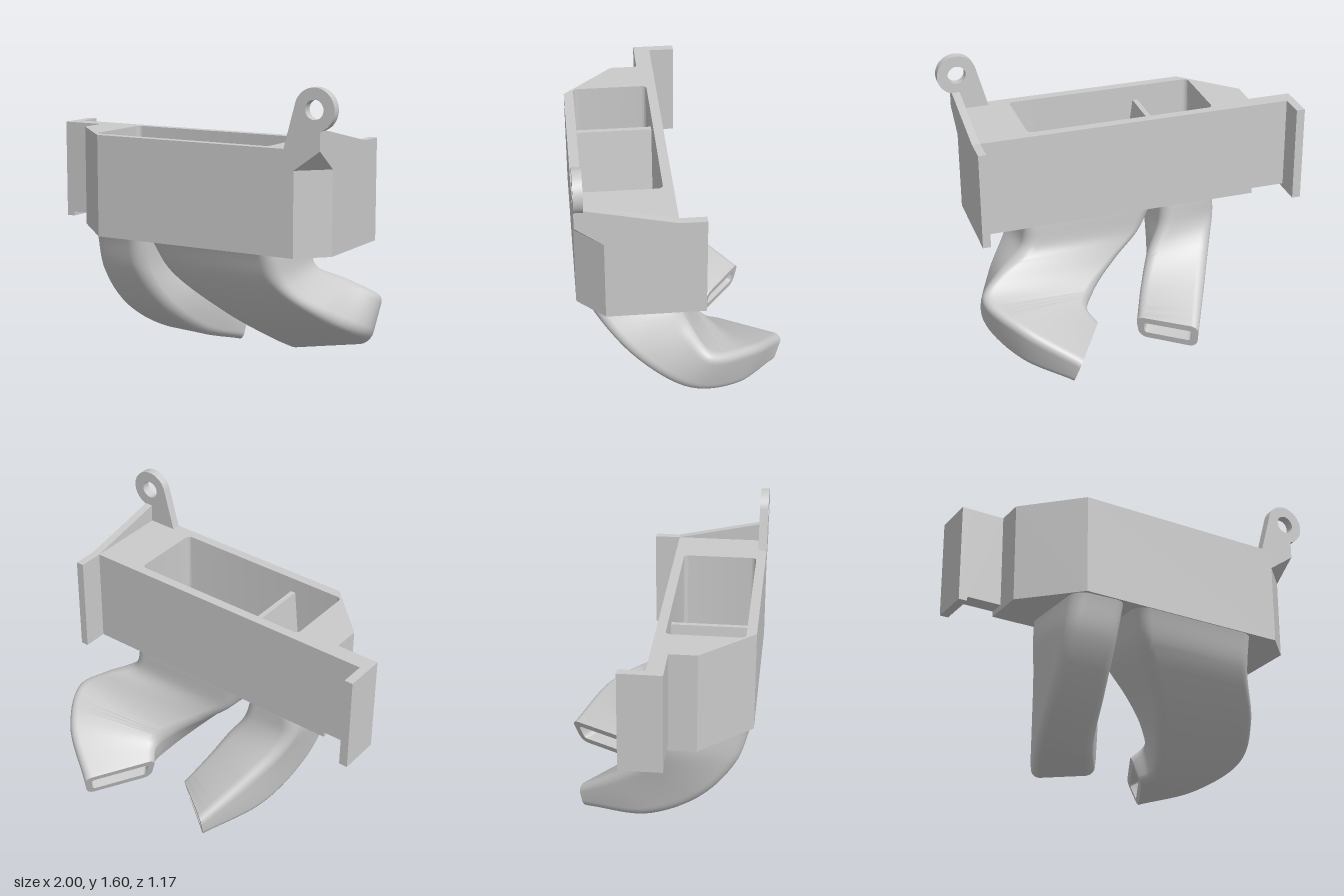
import * as THREE from 'three';
import { toCreasedNormals } from 'three/addons/utils/BufferGeometryUtils.js';
import { ConvexGeometry } from 'three/addons/geometries/ConvexGeometry.js';

const V = (x, y, z) => new THREE.Vector3(x, y, z);
const BOTTOM = 0.708, TOP = 1.28, FRONT = 0.58, END = 0.921;

function polygon(points) {
  return new THREE.Shape(points.map(([x, y]) => new THREE.Vector2(x, y)));
}

function roundedHole(x0, x1, y0, y1, r) {
  const p = new THREE.Path();
  p.absarc(x1 - r, y1 - r, r, 0, Math.PI / 2);
  p.absarc(x0 + r, y1 - r, r, Math.PI / 2, Math.PI);
  p.absarc(x0 + r, y0 + r, r, Math.PI, Math.PI * 1.5);
  p.absarc(x1 - r, y0 + r, r, Math.PI * 1.5, Math.PI * 2);
  p.closePath();
  return p;
}

// Rounded rectangle spread over four corners, inset by a wall thickness
function section(corners, inset, radius) {
  const [fl, fr, br, bl] = corners;
  const w = (fl.distanceTo(fr) + bl.distanceTo(br)) / 2;
  const h = (fl.distanceTo(bl) + fr.distanceTo(br)) / 2;
  const a = w / 2 - inset, b = h / 2 - inset;
  const r = Math.min(radius, a * 0.8, b * 0.8);
  const points = [], steps = 7;
  [[-1, -1], [1, -1], [1, 1], [-1, 1]].forEach(([sx, sy], k) => {
    for (let i = 0; i <= steps; i++) {
      const t = Math.PI + (k + i / steps) * Math.PI / 2;
      const u = 0.5 + (sx * (a - r) + r * Math.cos(t)) / w;
      const v = 0.5 + (sy * (b - r) + r * Math.sin(t)) / h;
      const front = fl.clone().lerp(fr, u), back = bl.clone().lerp(br, u);
      points.push(front.lerp(back, v));
    }
  });
  return points;
}

// Hollow duct: outer skin down, lip, inner skin back up, top lip
function duct(paths, wall) {
  const curves = paths.map(p => new THREE.CatmullRomCurve3(p.map(q => V(...q))));
  const n = 44, rings = [];
  const at = i => curves.map(c => c.getPoint(i / n));
  for (let i = 0; i <= n; i++) rings.push(section(at(i), 0, 0.08 - 0.03 * i / n));
  for (let i = n; i >= 0; i--) rings.push(section(at(i), wall, 0.035 - 0.015 * i / n));
  const m = rings[0].length, index = [];
  for (let i = 0; i < rings.length; i++) {
    for (let j = 0; j < m; j++) {
      const i2 = (i + 1) % rings.length, j2 = (j + 1) % m;
      const a = i * m + j, b = i * m + j2, c = i2 * m + j, d = i2 * m + j2;
      index.push(a, c, b, b, c, d);
    }
  }
  const g = new THREE.BufferGeometry().setFromPoints(rings.flat());
  g.setIndex(index);
  return toCreasedNormals(g, 0.7);
}

export function createModel() {
  const group = new THREE.Group();
  const grey = new THREE.MeshStandardMaterial({ color: 0xcacaca });
  grey.name = 'light grey';

  const add = (name, geometry) => {
    const mesh = new THREE.Mesh(geometry, grey);
    mesh.name = name;
    group.add(mesh);
  };
  const box = (name, x0, x1, y0, y1, z0, z1) => add(name,
    new THREE.BoxGeometry(x1 - x0, y1 - y0, z1 - z0)
      .translate((x0 + x1) / 2, (y0 + y1) / 2, (z0 + z1) / 2));
  const extrude = (shape, depth) => toCreasedNormals(new THREE.ExtrudeGeometry(shape,
    { depth, bevelEnabled: false, curveSegments: 20 }), 0.5);

  // Housing, drawn in plan with the front at negative shape y
  const plan = polygon([[-0.75, -0.04], [-0.75, -0.29], [-0.46, -FRONT], [0.77, -FRONT],
    [END, -0.43], [END, 0.105], [0.875, 0.105], [0.875, -0.04]]);
  plan.holes.push(roundedHole(-0.51, 0.59, -0.525, -0.095, 0.03));
  add('housing', extrude(plan, TOP - BOTTOM).rotateX(-Math.PI / 2).translate(0, BOTTOM, 0));

  // Overhanging corner above the chamfer
  add('cornerOverhang', toCreasedNormals(new ConvexGeometry([V(0.77, 1.17, FRONT), V(END, 1.17, 0.43),
    V(END, TOP, FRONT), V(0.77, TOP, FRONT), V(END, TOP, 0.43)]), 0.2));

  // Mounting tab and end flange
  box('sideTab', -0.95, -0.75, 0.74, TOP, 0.04, 0.135);
  box('endFlange', -1, -0.95, 0.715, TOP, -0.105, 0.135);

  // Divider between the two ducts, widening downward
  add('divider', extrude(polygon([[-0.245, BOTTOM], [-0.1, BOTTOM], [-0.165, 1.19], [-0.195, 1.19]]), 0.44)
    .translate(0, 0, 0.09));

  // Eyelet lug on the front face
  const lug = new THREE.Shape();
  lug.moveTo(0.71, TOP);
  lug.lineTo(0.776, 1.52);
  lug.absarc(0.886, 1.49, 0.114, 164 * Math.PI / 180, -72 * Math.PI / 180, true);
  lug.lineTo(END, TOP);
  lug.closePath();
  const eye = new THREE.Path();
  eye.absarc(0.886, 1.49, 0.052, 0, Math.PI * 2);
  lug.holes.push(eye);
  add('eyeletLug', extrude(lug, 0.05).translate(0, 0, FRONT - 0.05));

  // Sloping rib behind the lug, drawn as (-z, y) and turned to face +x
  add('slopingRib', extrude(polygon([[-0.575, TOP], [-0.04, TOP], [-0.53, 1.385], [-0.575, 1.385]]), 0.046)
    .rotateY(Math.PI / 2).translate(0.875, 0, 0));

  // Ducts: corner paths front right, front left, back left, back right of each section
  add('narrowDuct', duct([
    [[-0.515, 0.71, 0.56], [-0.52, 0.5, 0.49], [-0.5, 0.26, 0.3], [-0.42, 0.07, -0.02], [-0.25, 0, -0.41]],
    [[-0.2, 0.71, 0.575], [-0.21, 0.5, 0.5], [-0.18, 0.26, 0.3], [-0.1, 0.07, 0.02], [0.03, 0, -0.19]],
    [[-0.2, 0.71, 0.05], [-0.17, 0.57, 0.03], [-0.08, 0.44, 0], [-0.01, 0.3, -0.07], [0.06, 0.15, -0.21]],
    [[-0.53, 0.71, 0.05], [-0.53, 0.58, 0.05], [-0.48, 0.47, -0.02], [-0.38, 0.33, -0.19], [-0.25, 0.15, -0.44]],
  ], 0.04));
  add('wideDuct', duct([
    [[-0.14, 0.71, 0.575], [-0.07, 0.54, 0.5], [0.16, 0.29, 0.3], [0.32, 0.1, 0.04], [0.37, 0.02, -0.11], [0.34, 0, -0.18]],
    [[0.63, 0.71, 0.575], [0.66, 0.53, 0.5], [0.83, 0.32, 0.28], [0.93, 0.17, 0], [0.8, 0.06, -0.29], [0.54, 0, -0.54]],
    [[0.63, 0.71, 0.05], [0.66, 0.57, 0.035], [0.82, 0.5, -0.04], [0.95, 0.42, -0.14], [0.8, 0.33, -0.4], [0.5, 0.17, -0.6]],
    [[-0.14, 0.71, 0.05], [-0.06, 0.56, 0.045], [0.09, 0.43, 0.01], [0.25, 0.32, -0.07], [0.32, 0.24, -0.13], [0.28, 0.17, -0.2]],
  ], 0.04));

  return group;
}
